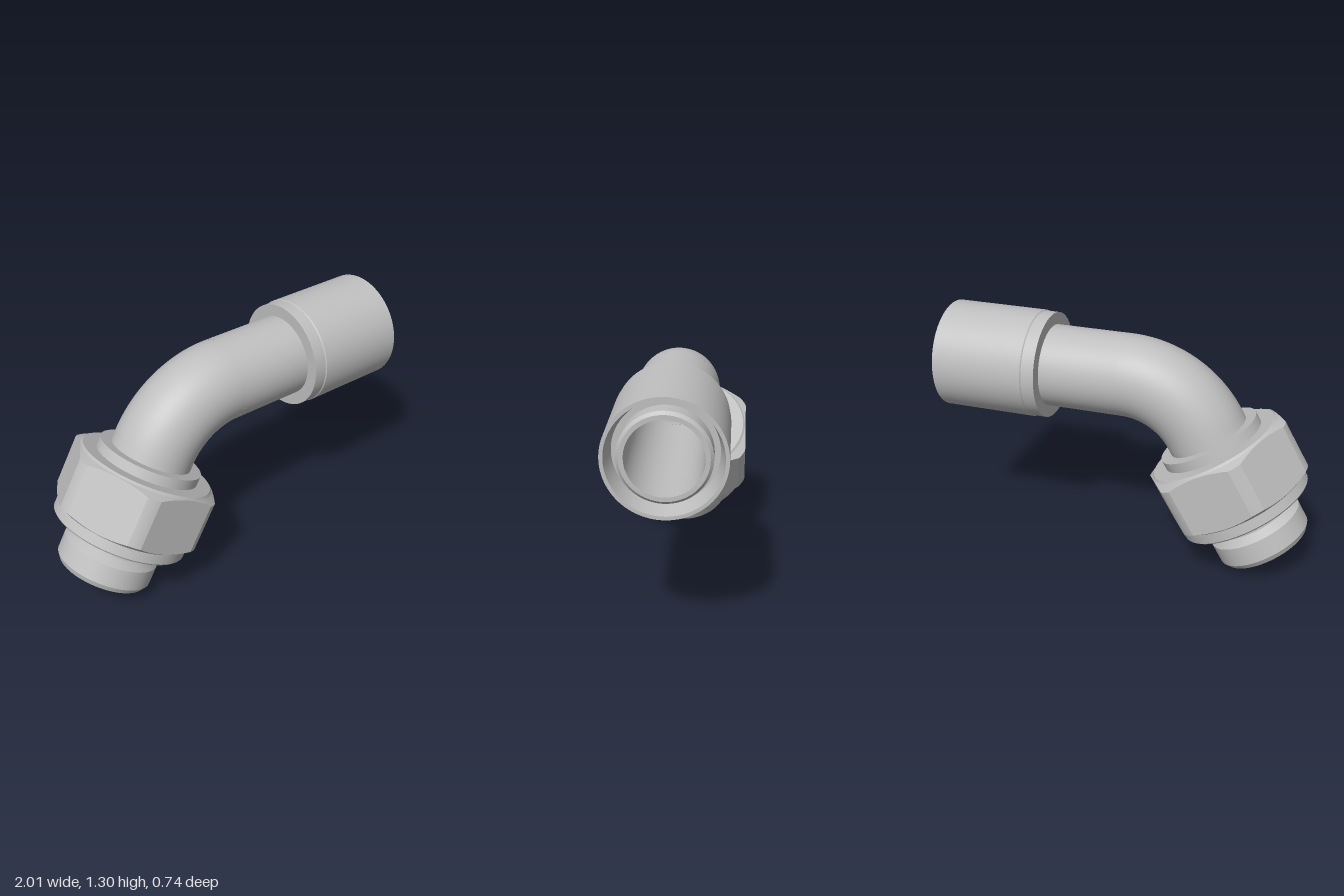
import * as THREE from 'three';
import { toCreasedNormals } from 'three/addons/utils/BufferGeometryUtils.js';

const PIPE = 0.22, BORE = 0.183, BEND = 0.494, AXIS_Y = 1.01;
const BEND_ANGLE = Math.PI / 3;

export function createModel() {
  const steel = new THREE.MeshStandardMaterial({ color: 0xbfbfbf, side: THREE.DoubleSide });
  steel.name = 'steel grey';
  const model = new THREE.Group();
  model.name = 'elbowFitting';

  const add = (parent, name, geometry) => {
    const mesh = new THREE.Mesh(geometry, steel);
    mesh.name = name;
    parent.add(mesh);
    return mesh;
  };
  // Turned part about the y axis from [radius, height] points
  const turned = (points, segments = 96) =>
    new THREE.LatheGeometry(points.map(([r, y]) => new THREE.Vector2(r, y)), segments);
  const crease = (geometry) => toCreasedNormals(geometry, 0.25);

  // Horizontal end: local y runs along +x
  const outlet = new THREE.Group();
  outlet.name = 'outlet';
  outlet.position.y = AXIS_Y;
  outlet.rotation.z = -Math.PI / 2;
  model.add(outlet);
  add(outlet, 'straightPipe', crease(turned([
    [PIPE, 0], [PIPE, 0.975], [0.205, 0.99], [BORE, 0.99], [BORE, 0],
  ])));
  add(outlet, 'sleeve', crease(turned([
    [PIPE, 0.42], [0.285, 0.42], [0.285, 0.49], [0.29, 0.495], [0.29, 1],
    [0.272, 1], [0.248, 0.89], [PIPE, 0.89],
  ])));

  // Bend: outer wall and bore
  const bend = new THREE.Group();
  bend.name = 'bend';
  bend.position.y = AXIS_Y - BEND;
  bend.rotation.z = Math.PI / 2;
  model.add(bend);
  add(bend, 'bendWall', new THREE.TorusGeometry(BEND, PIPE, 64, 48, BEND_ANGLE));
  add(bend, 'bendBore', new THREE.TorusGeometry(BEND, BORE, 64, 48, BEND_ANGLE));

  // Inclined end: local y runs up towards the bend
  const inlet = new THREE.Group();
  inlet.name = 'inlet';
  inlet.position.set(-0.651, 0.376, 0);
  inlet.rotation.z = -Math.PI / 6;
  model.add(inlet);
  add(inlet, 'stem', crease(turned([
    [0.205, -0.29], [0.24, -0.29], [0.26, -0.26], [0.26, -0.152], [0.218, -0.116],
    [0.218, 0.3], [0.28, 0.3], [0.28, 0.402], [PIPE, 0.402], [PIPE, 0.448],
    [BORE, 0.448], [BORE, -0.2], [0.205, -0.29],
  ])));

  // Hex nut: corner rings are pulled in to the flats and follow the end chamfers
  const FLAT = 0.37, CORNER = 0.41, LOW = 0.045, HIGH = 0.313;
  const nut = turned([
    [0.21, -0.047], [0.357, -0.047], [0.366, -0.038], [0.366, 0.018],
    [CORNER, LOW], [CORNER, HIGH], [0.366, 0.336], [0.355, 0.347], [0.21, 0.347],
  ], 144);
  const p = nut.attributes.position;
  for (let i = 0; i < p.count; i++) {
    const x = p.getX(i), y = p.getY(i), z = p.getZ(i);
    if (Math.hypot(x, z) < CORNER - 0.001) continue;
    const a = Math.atan2(x, z);
    const offFlat = a - Math.round(a / BEND_ANGLE) * BEND_ANGLE;
    const r = Math.min(CORNER, FLAT / Math.cos(offFlat));
    const shift = (CORNER - r) * 0.56;
    p.setXYZ(i, Math.sin(a) * r, y < 0.2 ? LOW - shift : HIGH + shift, Math.cos(a) * r);
  }
  add(inlet, 'hexNut', crease(nut));

  return model;
}
